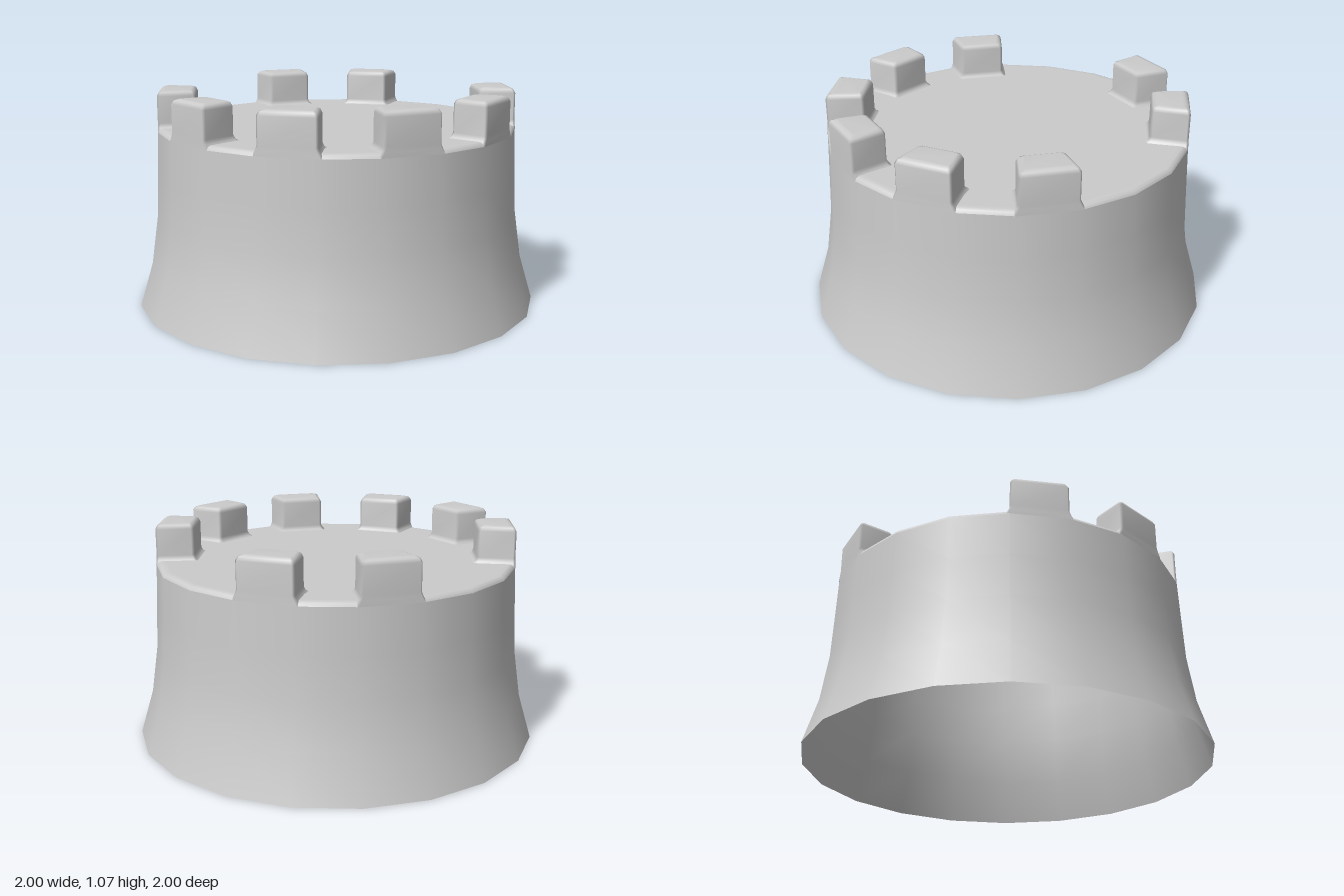
import * as THREE from 'three';

const SIDES = 20;
const STEP = (Math.PI * 2) / SIDES;
const FLOOR_Y = 0.89;
const INNER_R = 0.7;
const OUTER_R = 0.885;
const MERLON_SECTORS = [0, 2, 4, 8, 10, 14, 16, 18];

const material = new THREE.MeshStandardMaterial({ color: 0xcccccc, side: THREE.DoubleSide });

function addMesh(parent, geometry, name) {
  const mesh = new THREE.Mesh(geometry, material);
  mesh.name = name;
  parent.add(mesh);
  return mesh;
}

const profile = (pairs) => pairs.map(([r, y]) => new THREE.Vector2(r, y));

// Cross-section of a merlon filling one sector: a wedge with clipped corners, grown by d
function merlonLoop(d, y, outerY) {
  const c = 0.012;
  const r0 = INNER_R - d;
  const r1 = Math.min(OUTER_R, OUTER_R + d);
  const edge = (r) => 2 * r * Math.sin(STEP / 2);
  // point at radius r, e units in from the start (side 0) or end (side 1) of the sector
  const at = (r, side, e) => {
    const inset = (e - d) / edge(r);
    const s = side ? 1 - inset : inset;
    return [r * Math.sin(STEP) * s, r <= r0 + c ? y : outerY, r * (1 - s + Math.cos(STEP) * s)];
  };
  return [
    at(r1 - c, 0, 0), at(r1, 0, c), at(r1, 1, c), at(r1 - c, 1, 0),
    at(r0 + c, 1, 0), at(r0, 1, c), at(r0, 0, c), at(r0 + c, 0, 0),
  ];
}

// Hollow merlon, open below: filleted foot, straight sides, rounded top edge
function merlonGeometry() {
  const loops = [
    merlonLoop(0.022, FLOOR_Y - 0.002, 0.87),
    merlonLoop(0.008, 0.896, 0.896),
    merlonLoop(0, 0.915, 0.915),
    merlonLoop(0, 1.045, 1.045),
    merlonLoop(-0.008, 1.063, 1.063),
    merlonLoop(-0.025, 1.07, 1.07),
  ];
  const n = loops[0].length;
  const positions = loops.flat(2);
  const index = [];
  for (let i = 0; i < loops.length - 1; i++) {
    for (let j = 0; j < n; j++) {
      const a = i * n + j;
      const b = i * n + ((j + 1) % n);
      index.push(a, b, b + n, a, b + n, a + n);
    }
  }
  // top cap
  const last = (loops.length - 1) * n;
  for (let j = 1; j < n - 1; j++) index.push(last, last + j, last + j + 1);
  const g = new THREE.BufferGeometry();
  g.setAttribute('position', new THREE.Float32BufferAttribute(positions, 3));
  g.setIndex(index);
  g.computeVertexNormals();
  return g;
}

export function createModel() {
  const group = new THREE.Group();
  group.name = 'towerTop';

  // Flared outer wall, open at the bottom
  addMesh(group, new THREE.LatheGeometry(profile([
    [1, 0], [0.935, 0.22], [0.902, 0.45], [0.893, 0.66], [OUTER_R, 0.87],
  ]), SIDES), 'wall');

  // Central floor
  const floor = new THREE.CircleGeometry(INNER_R, SIDES);
  floor.rotateX(-Math.PI / 2);
  floor.translate(0, FLOOR_Y, 0);
  addMesh(group, floor, 'floor');

  // Each sector of the parapet is either a merlon or a gap with a rounded rim
  const merlon = merlonGeometry();
  const gap = new THREE.LatheGeometry(profile([
    [OUTER_R, 0.87], [0.878, 0.884], [0.862, FLOOR_Y], [0.84, FLOOR_Y], [INNER_R, FLOOR_Y],
  ]), 1, 0, STEP);
  for (let i = 0; i < SIDES; i++) {
    const isMerlon = MERLON_SECTORS.includes(i);
    const part = addMesh(group, isMerlon ? merlon : gap, isMerlon ? 'merlon' : 'gapFloor');
    part.rotation.y = i * STEP;
  }
  return group;
}
